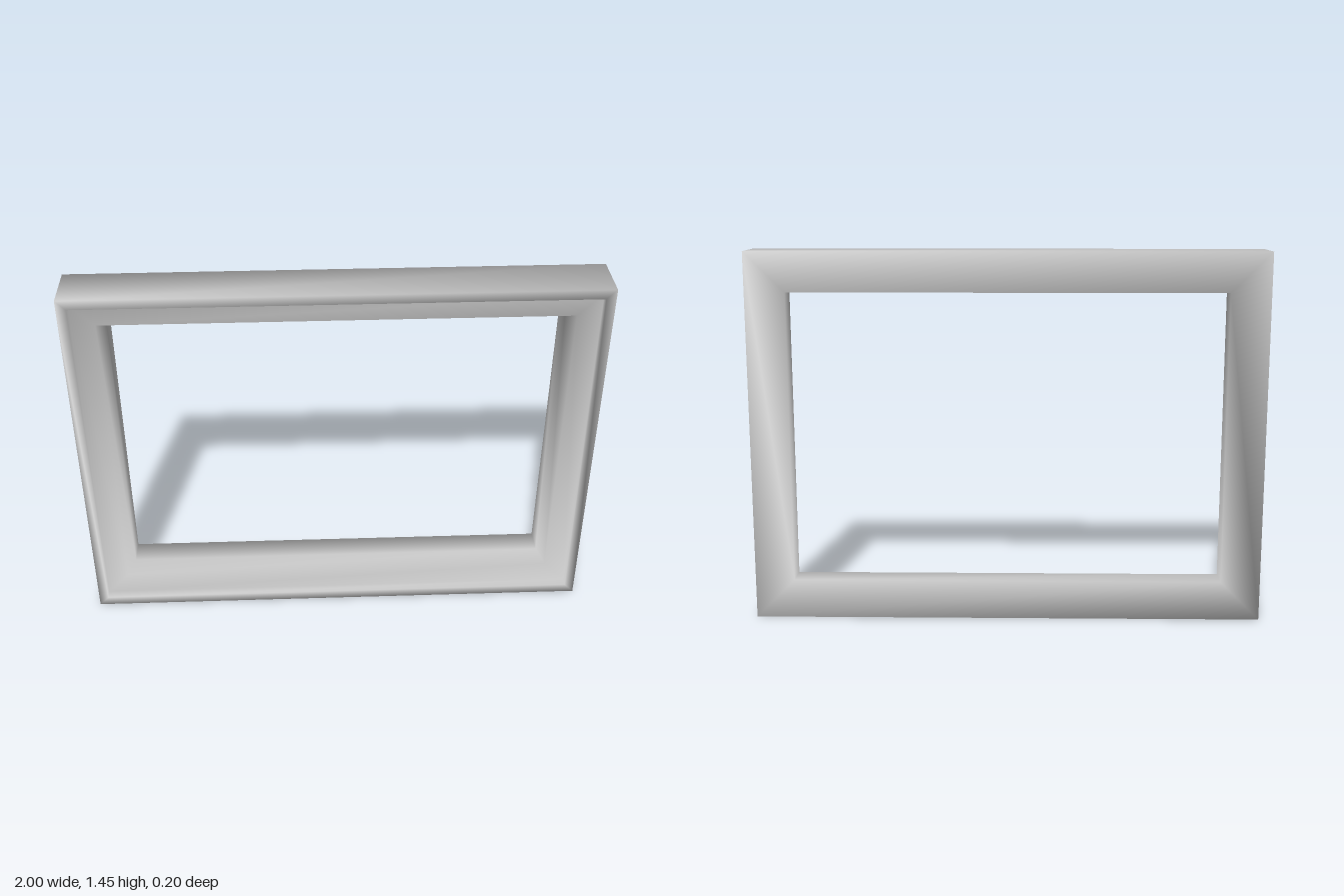
import * as THREE from 'three';

const HALF_W = 1, HALF_H = 0.725;

// Moulding cross-section: [inset from the outer edge, z]
const PROFILE = [
  [0, -0.1],      // outer back edge
  [0, 0.1],       // outer front edge
  [0.037, 0.1],   // raised rim
  [0.037, 0.063], // step down from the rim
  [0.125, 0.06],  // flat face
  [0.155, 0.0],   // bevel into the opening
  [0.155, -0.1],  // opening wall to the back
];

// Closed rectangular sweep with mitred corners and shared (smooth) normals
function mitredFrame(profile) {
  const corners = [[1, -1], [1, 1], [-1, 1], [-1, -1]];
  const positions = [], index = [];
  for (const [inset, z] of profile)
    for (const [sx, sy] of corners)
      positions.push(sx * (HALF_W - inset), HALF_H + sy * (HALF_H - inset), z);
  const n = profile.length;
  for (let j = 0; j < n; j++) {
    const next = (j + 1) % n;
    for (let k = 0; k < 4; k++) {
      const l = (k + 1) % 4;
      const a = j * 4 + k, b = j * 4 + l, c = next * 4 + l, d = next * 4 + k;
      index.push(a, b, c, a, c, d);
    }
  }
  const geometry = new THREE.BufferGeometry();
  geometry.setAttribute('position', new THREE.Float32BufferAttribute(positions, 3));
  geometry.setIndex(index);
  geometry.computeVertexNormals();
  return geometry;
}

export function createModel() {
  const group = new THREE.Group();
  group.name = 'pictureFrame';
  const moulding = new THREE.Mesh(
    mitredFrame(PROFILE),
    new THREE.MeshStandardMaterial({ color: 0xcccccc })
  );
  moulding.name = 'frameMoulding';
  group.add(moulding);
  return group;
}
